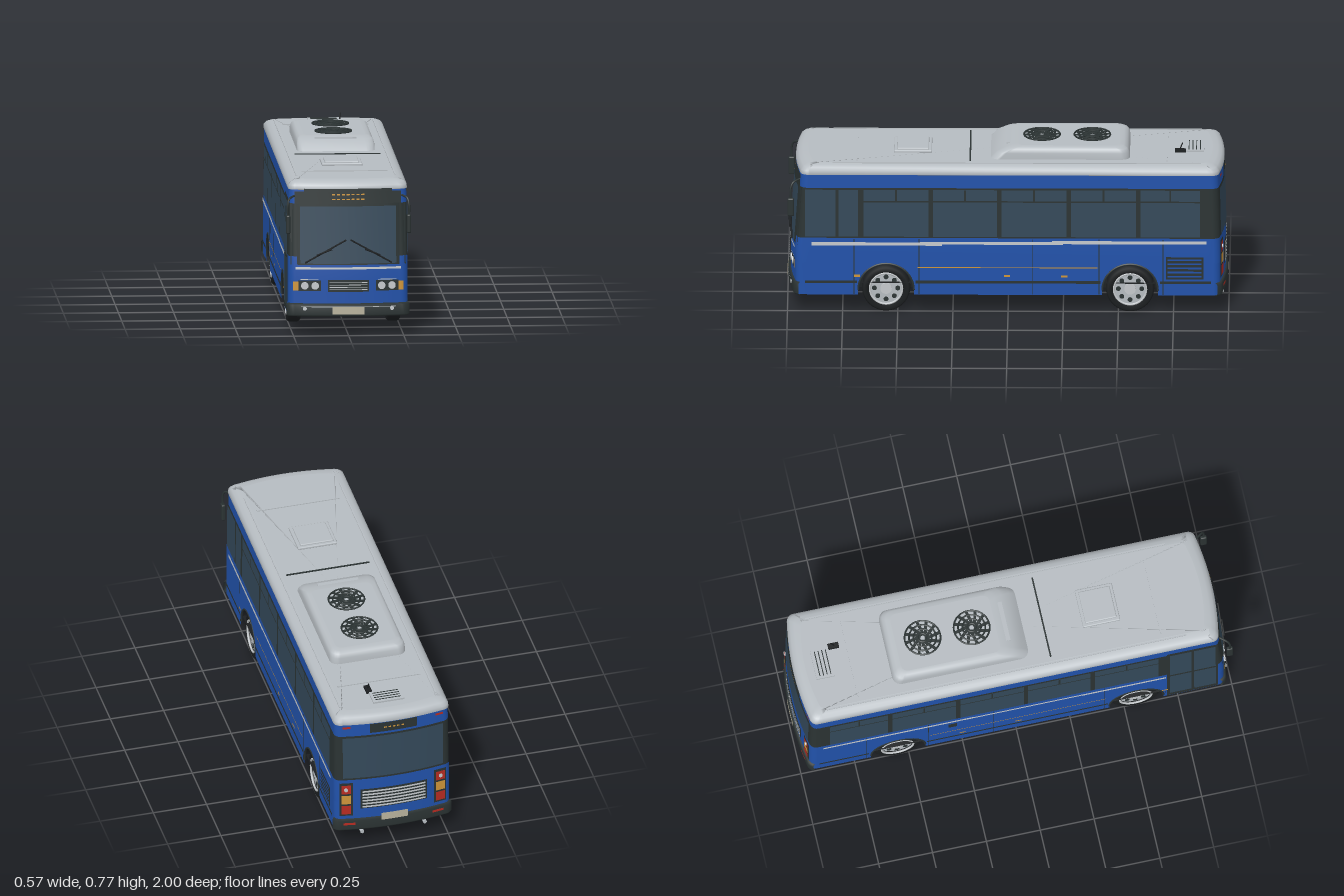
import * as THREE from 'three';
import { RoundedBoxGeometry } from 'three/addons/geometries/RoundedBoxGeometry.js';

const paint = (name, color) => {
  const m = new THREE.MeshStandardMaterial({ color, side: THREE.DoubleSide });
  m.name = name;
  return m;
};

export function createModel() {
  const bus = new THREE.Group();
  bus.name = 'cityBus';
  const blue = paint('bodyBlue', 0x2152ab), grey = paint('roofGrey', 0xb6bcc1), dark = paint('darkTrim', 0x2b3333);
  const glass = paint('tintedGlass', 0x34495a), black = paint('tyreBlack', 0x1c1f21), amber = paint('amber', 0xd0963a);
  const red = paint('lampRed', 0xb82c22), cream = paint('plateCream', 0xbab49e), silver = paint('silver', 0xc6cacd);

  const add = (name, geo, mat, x = 0, y = 0, z = 0, parent = bus) => {
    const m = new THREE.Mesh(geo, mat);
    m.name = name;
    m.position.set(x, y, z);
    parent.add(m);
    return m;
  };
  const box = (name, mat, w, h, d, x, y, z) => add(name, new THREE.BoxGeometry(w, h, d), mat, x, y, z);

  // Body surface: slight lean of the front and sides, bowed ends with rounded corners
  const lean = y => Math.max(0, (y - 0.3) / 0.36);
  const halfW = y => 0.271 - 0.004 * lean(y);
  const endDrop = x => {
    const a = Math.abs(x);
    if (a <= 0.235) return 0.022 * (a / 0.235) ** 2;
    const t = Math.min(1, (a - 0.235) / 0.036);
    return 0.022 + 0.033 * (1 - Math.sqrt(1 - t * t));
  };
  const endZ = (s, x, y, off = 0) => s * ((s > 0 ? 0.987 - 0.026 * lean(y) : 0.985 - 0.008 * lean(y)) - endDrop(x) + off);
  const xs = [];
  for (let i = 0; i <= 8; i++) xs.push(0.235 * i / 8);
  for (let i = 1; i <= 6; i++) xs.push(0.235 + 0.036 * Math.sin(i * Math.PI / 12));
  const allX = [...xs.slice(1).reverse().map(x => -x), ...xs];
  const outline = (y, off = 0) => {
    const k = (halfW(y) + off) / 0.271;
    const end = s => allX.map(x => new THREE.Vector3(s * x * k, y, endZ(s, x, y, off)));
    const w = halfW(y) + off, V = (x, z) => new THREE.Vector3(x, y, z);
    return [...end(1), V(w, 0.9), V(w, -0.9), ...end(-1), V(-w, -0.9), V(-w, 0.9)];
  };

  // Skin between equal rings of points, with an optional flat cap on the last ring
  const loft = (rings, closed = true, cap = false) => {
    const n = rings[0].length, pos = [], idx = [];
    rings.forEach(r => r.forEach(p => pos.push(p.x, p.y, p.z)));
    for (let j = 0; j < rings.length - 1; j++) for (let i = 0; i < (closed ? n : n - 1); i++) {
      const a = j * n + i, b = j * n + (i + 1) % n;
      idx.push(a, b, a + n, b, b + n, a + n);
    }
    if (cap) {
      const c = pos.length / 3, last = rings[rings.length - 1];
      const mid = last.reduce((s, p) => s.add(p), new THREE.Vector3()).divideScalar(n);
      [mid, ...last].forEach(p => pos.push(p.x, p.y, p.z));
      for (let i = 0; i < n; i++) idx.push(c, c + 1 + i, c + 1 + (i + 1) % n);
    }
    const g = new THREE.BufferGeometry();
    g.setAttribute('position', new THREE.Float32BufferAttribute(pos, 3));
    g.setIndex(idx);
    g.computeVertexNormals();
    return g;
  };
  // Thin panels that follow the ends and the sides
  const endPatch = (name, mat, s, x0, x1, y0, y1, off = 0.003) => {
    const row = y => Array.from({ length: 13 }, (_, i) => {
      const x = x0 + (x1 - x0) * i / 12;
      return new THREE.Vector3(x, y, endZ(s, x, y, off));
    });
    add(name, loft([row(y0), row(y1)], false), mat);
  };
  const sidePatch = (name, mat, s, z0, z1, y0, y1, off = 0.003) => {
    const row = y => [z0, z1].map(z => new THREE.Vector3(s * (halfW(y) + off), y, z));
    add(name, loft([row(y0), row(y1)], false), mat);
  };
  const endDisc = (name, mat, s, r, x, y, off = 0.005) => {
    const g = new THREE.CylinderGeometry(r, r, 0.008, 20).rotateX(Math.PI / 2);
    add(name, g, mat, x, y, endZ(s, x, y, off));
  };

  // Body bands and roof
  add('bodyWaist', loft([outline(0.24), outline(0.3), outline(0.36)]), blue);
  add('windowBand', loft([outline(0.36), outline(0.6)]), dark);
  add('bodyCornice', loft([outline(0.6), outline(0.67)]), blue);
  add('roof', loft([outline(0.662), outline(0.664, 0.003), outline(0.682, 0.002), outline(0.695, -0.009),
    outline(0.703, -0.026), outline(0.706, -0.05)], true, true), grey);

  // Lower skirt ends, bumpers
  for (const s of [1, -1]) {
    const half = (y, off) => {
      const o = outline(y, off).filter(p => p.z * s >= 0.899);
      return s > 0 ? [o[o.length - 1], ...o.slice(0, -1)] : o;
    };
    add('skirtEnd', loft([half(0.087), half(0.24)], false), blue);
    const rim = (y, off) => half(y, off).slice(2, -2);
    add(s > 0 ? 'frontBumper' : 'rearBumper',
      loft([rim(0.087, -0.02), rim(0.087, 0.006), rim(0.095, 0.01), rim(0.138, 0.01), rim(0.146, 0.004), rim(0.146, -0.02)], false), dark);
  }

  // Sides
  for (const s of [1, -1]) {
    const skirt = new THREE.Shape();
    skirt.moveTo(-0.9, 0.087);
    for (const c of [-0.553, 0.553]) {
      skirt.lineTo(c - 0.126, 0.087);
      skirt.absarc(c, 0.11, 0.126, Math.PI, 0, true);
      skirt.lineTo(c + 0.126, 0.087);
    }
    skirt.lineTo(0.9, 0.087).lineTo(0.9, 0.24).lineTo(-0.9, 0.24);
    add('sideSkirt', new THREE.ShapeGeometry(skirt, 24).rotateY(-Math.PI / 2), blue, s * 0.271);

    for (const c of [-0.553, 0.553]) {
      const well = new THREE.CylinderGeometry(0.126, 0.126, 0.1, 24, 1, true, 0, Math.PI).rotateX(-Math.PI / 2).rotateY(Math.PI / 2);
      well.rotateX(0);
      const arch = new THREE.TorusGeometry(0.126, 0.005, 6, 28, Math.PI).rotateY(Math.PI / 2);
      add('wheelArchLip', arch, dark, s * 0.27, 0.11, c);
      // Wheel well follows the arch inward
      const ring = x => Array.from({ length: 17 }, (_, i) => new THREE.Vector3(x, 0.11 + 0.126 * Math.sin(i * Math.PI / 16), c + 0.126 * Math.cos(i * Math.PI / 16)));
      add('wheelWell', loft([ring(s * 0.27), ring(s * 0.17)], false), black);
    }

    // Windows with sliding upper vents
    const panes = [[0.655, 0.36], [0.34, 0.05], [0.03, -0.265], [-0.285, -0.58], [-0.6, -0.87]];
    for (const [a, b] of panes) {
      sidePatch('sideWindow', glass, s, a, b, 0.367, 0.592);
      sidePatch('ventRail', dark, s, a, b, 0.533, 0.54, 0.005);
      sidePatch('ventPost', dark, s, (a + b) / 2 + 0.004, (a + b) / 2 - 0.004, 0.54, 0.592, 0.005);
    }
    if (s > 0) {
      sidePatch('driverWindow', glass, s, 0.92, 0.782, 0.367, 0.592);
      sidePatch('driverWindow', glass, s, 0.768, 0.68, 0.367, 0.592);
      // Engine grille
      sidePatch('engineGrille', dark, s, -0.715, -0.885, 0.165, 0.272);
      for (let i = 0; i < 5; i++) sidePatch('grilleSlat', blue, s, -0.722, -0.878, 0.175 + i * 0.02, 0.183 + i * 0.02, 0.005);
    } else {
      // Folding entrance door
      sidePatch('doorFrame', dark, s, 0.93, 0.695, 0.1, 0.625, 0.004);
      for (const z of [0.92, 0.807]) {
        sidePatch('doorGlass', glass, s, z, z - 0.1, 0.36, 0.605, 0.006);
        sidePatch('doorGlass', glass, s, z, z - 0.1, 0.13, 0.345, 0.006);
      }
      sidePatch('fuelCap', dark, s, -0.28, -0.32, 0.27, 0.31);
    }
    // Stripes, mouldings, seams and markers
    const zf = s > 0 ? 0.89 : 0.69;
    sidePatch('silverStripe', silver, s, zf, 0.3, 0.324, 0.34);
    sidePatch('silverStripe', silver, s, 0.4, -0.25, 0.33, 0.343, 0.004);
    sidePatch('silverStripe', silver, s, -0.2, -0.9, 0.334, 0.349, 0.005);
    sidePatch('thinGoldLine', amber, s, 0.41, -0.405, 0.217, 0.221);
    for (const [a, b] of [[s > 0 ? 0.92 : 0.69, 0.685], [0.42, -0.42], [-0.69, -0.92]]) sidePatch('moulding', dark, s, a, b, 0.143, 0.156, 0.004);
    for (const z of [0.7, 0.405, -0.11, -0.41, -0.7]) sidePatch('panelSeam', dark, s, z, z - 0.004, 0.09, 0.355, 0.002);
    for (const z of [0.685, 0.005, -0.255]) sidePatch('sideMarker', amber, s, z + 0.014, z - 0.014, 0.174, 0.184, 0.005);

    // Mirror on a bent arm
    const arm = new THREE.CatmullRomCurve3([[0.245, 0.635, 0.945], [0.268, 0.625, 0.975], [0.275, 0.6, 0.985], [0.275, 0.54, 0.985]]
      .map(([x, y, z]) => new THREE.Vector3(s * x, y, z)));
    add('mirrorArm', new THREE.TubeGeometry(arm, 16, 0.005, 8), dark);
    add('mirror', new RoundedBoxGeometry(0.019, 0.086, 0.03, 3, 0.007), dark, s * 0.274, 0.51, 0.985);
  }

  // Front: windscreen, sign, wipers
  endPatch('windscreenFrame', dark, 1, -0.262, 0.262, 0.322, 0.6, 0.002);
  endPatch('signPanel', dark, 1, -0.242, 0.242, 0.6, 0.655, 0.002);
  endPatch('signPanelTop', dark, 1, -0.2, 0.2, 0.655, 0.668, 0.006);
  endPatch('windscreen', glass, 1, -0.218, 0.218, 0.328, 0.588, 0.004);
  for (const y of [0.62, 0.642]) for (let i = -3; i <= 3; i++)
    endPatch('signLamp', amber, 1, i * 0.022 - 0.007, i * 0.022 + 0.007, y - 0.003, y + 0.003, 0.006);
  const rod = (name, mat, a, b, r) => add(name, new THREE.TubeGeometry(new THREE.LineCurve3(a, b), 1, r, 6), mat);
  const onFront = (x, y, off) => new THREE.Vector3(x, y, endZ(1, x, y, off));
  for (const s of [1, -1]) {
    rod('wiperBlade', black, onFront(s * 0.01, 0.437, 0.012), onFront(s * 0.197, 0.332, 0.012), 0.004);
    rod('wiperArm', black, onFront(s * 0.075, 0.395, 0.015), onFront(s * 0.145, 0.367, 0.015), 0.004);
    // Headlamp clusters
    endPatch('headlampHousing', dark, 1, s * 0.125, s * 0.228, 0.203, 0.251);
    endPatch('turnSignal', amber, 1, s * 0.227, s * 0.25, 0.205, 0.246, 0.005);
    endPatch('lampBrow', silver, 1, s * 0.135, s * 0.218, 0.253, 0.257, 0.004);
    for (const x of [0.151, 0.198]) endDisc('headlamp', silver, 1, 0.017, s * x, 0.227);
    endDisc('fogLamp', silver, 1, 0.009, s * 0.198, 0.123, 0.011);
  }
  endPatch('frontStripe', silver, 1, -0.24, 0.24, 0.302, 0.312, 0.004);
  endPatch('frontGrille', dark, 1, -0.093, 0.093, 0.199, 0.253);
  for (let i = 0; i < 4; i++) endPatch('grilleBar', silver, 1, -0.086, 0.086, 0.208 + i * 0.0107, 0.211 + i * 0.0107, 0.006);
  endPatch('bumperLine', grey, 1, -0.215, 0.215, 0.13, 0.133, 0.012);
  endPatch('frontPlate', cream, 1, -0.073, 0.073, 0.097, 0.131, 0.014);

  // Rear: window, sign, grille and lamps
  endPatch('rearWindow', glass, -1, -0.235, 0.235, 0.372, 0.592, 0.004);
  endPatch('rearSign', dark, -1, -0.11, 0.11, 0.613, 0.662);
  for (let i = -2; i <= 2; i++) endPatch('rearSignLamp', amber, -1, i * 0.02 - 0.006, i * 0.02 + 0.006, 0.634, 0.641, 0.006);
  endPatch('rearGrille', dark, -1, -0.155, 0.155, 0.2, 0.306);
  for (let i = 0; i < 6; i++) endPatch('rearGrilleBar', silver, -1, -0.148, 0.148, 0.206 + i * 0.0165, 0.215 + i * 0.0165, 0.006);
  endPatch('rearPlate', cream, -1, -0.062, 0.062, 0.132, 0.17, 0.0125);
  for (const s of [1, -1]) {
    endPatch('tailLampHousing', dark, -1, s * 0.19, s * 0.25, 0.165, 0.345);
    [red, amber, red].forEach((m, i) => endPatch('tailLamp', m, -1, s * 0.2, s * 0.243, 0.175 + i * 0.056, 0.222 + i * 0.056, 0.006));
    endDisc('reverseLamp', silver, -1, 0.009, s * 0.222, 0.31, 0.006);
    endPatch('rearReflector', red, -1, s * 0.18, s * 0.235, 0.118, 0.13, 0.0125);
    endPatch('topMarker', red, -1, s * 0.2, s * 0.235, 0.645, 0.656, 0.005);
    const hook = new THREE.CylinderGeometry(0.009, 0.009, 0.035, 12).rotateX(Math.PI / 2);
    add('towPipe', hook, grey, s * 0.147, 0.068, -0.96);
    add('towPipeEnd', new THREE.CylinderGeometry(0.0095, 0.0095, 0.004, 12).rotateX(Math.PI / 2), dark, s * 0.147, 0.068, -0.941);
  }

  // Underside: raised floor with a deeper centre section
  add('floor', loft([outline(0.141, -0.006), outline(0.14, -0.006)], true, true), black);
  box('chassis', black, 0.34, 0.055, 1.9, 0, 0.114, 0);
  for (const z of [0.86, -0.86]) box('chassisEnd', black, 0.48, 0.05, 0.16, 0, 0.114, z);
  box('towBeam', black, 0.23, 0.006, 1.8, 0, 0.085, 0);

  // Wheels: the rear axle has doubled tyres
  const tyre = [[0.074, -0.031], [0.1, -0.031], [0.108, -0.024], [0.11, -0.01], [0.11, 0.01], [0.108, 0.024], [0.1, 0.031], [0.074, 0.031], [0.074, -0.031]];
  const tyreGeo = new THREE.LatheGeometry(tyre.map(([r, h]) => new THREE.Vector2(r, h)), 40).rotateZ(-Math.PI / 2);
  const disc = (r, d) => new THREE.CylinderGeometry(r, r, d, 28).rotateZ(Math.PI / 2);
  for (const s of [1, -1]) for (const z of [0.553, -0.553]) {
    const wheel = new THREE.Group();
    wheel.name = z > 0 ? 'frontWheel' : 'rearWheel';
    wheel.position.set(s * 0.226, 0.11, z);
    bus.add(wheel);
    add('tyre', tyreGeo, black, 0, 0, 0, wheel);
    if (z < 0) add('innerTyre', tyreGeo, black, -s * 0.05, 0, 0, wheel);
    add('rimDisc', disc(0.075, 0.04), grey, 0, 0, 0, wheel);
    add('rimEdge', new THREE.TorusGeometry(0.074, 0.005, 8, 32).rotateY(Math.PI / 2), silver, s * 0.029, 0, 0, wheel);
    add('hub', disc(0.026, 0.058), silver, 0, 0, 0, wheel);
    for (let i = 0; i < 8; i++) {
      const a = i * Math.PI / 4;
      add('rimHole', disc(0.011, 0.003), dark, s * 0.021, 0.053 * Math.sin(a), 0.053 * Math.cos(a), wheel);
    }
  }
  for (const z of [0.553, -0.553]) add('axle', disc(0.02, 0.4), black, 0, 0.11, z);

  // Roof air conditioner with two fans
  const rounded = (y, w, z0, z1, r) => {
    const pts = [];
    [[1, 1], [1, -1], [-1, -1], [-1, 1]].forEach(([sx, sz], q) => {
      for (let i = 0; i <= 5; i++) {
        const a = Math.PI / 2 - q * Math.PI / 2 - i * Math.PI / 10;
        pts.push(new THREE.Vector3(sx * (w - r) + r * Math.cos(a), y, (sz > 0 ? z1 - r : z0 + r) + r * Math.sin(a)));
      }
    });
    return pts;
  };
  add('airConditioner', loft([rounded(0.7, 0.177, -0.552, 0.085, 0.04), rounded(0.735, 0.176, -0.55, 0.05, 0.04),
    rounded(0.752, 0.17, -0.54, 0.012, 0.04), rounded(0.76, 0.158, -0.525, -0.02, 0.04), rounded(0.762, 0.14, -0.505, -0.045, 0.03)], true, true), grey);
  box('unitHandle', grey, 0.19, 0.006, 0.025, 0, 0.755, -0.005);
  for (const z of [-0.38, -0.152]) {
    for (const r of [0.082, 0.062, 0.042, 0.02]) add('fanGuard', new THREE.TorusGeometry(r, 0.004, 6, 32).rotateX(Math.PI / 2), dark, 0, 0.765, z);
    for (let i = 0; i < 12; i++) {
      const a = i * Math.PI / 6;
      box('fanBlade', dark, 0.07, 0.004, 0.013, 0.045 * Math.cos(a), 0.764, z - 0.045 * Math.sin(a)).rotation.y = a + 0.25;
    }
  }

  // Roof hatch, vent, ribs and aerial
  add('hatchBase', new RoundedBoxGeometry(0.184, 0.014, 0.172, 2, 0.005), grey, 0, 0.71, 0.432);
  add('hatchLid', new RoundedBoxGeometry(0.155, 0.012, 0.145, 2, 0.005), grey, 0, 0.718, 0.432);
  box('roofVent', grey, 0.145, 0.012, 0.085, -0.002, 0.708, -0.845);
  for (let i = 0; i < 4; i++) box('ventSlot', dark, 0.12, 0.002, 0.004, -0.002, 0.7145, -0.87 + i * 0.017);
  box('roofRib', dark, 0.39, 0.006, 0.007, 0, 0.707, 0.172);
  for (const z of [0.685, -0.72]) box('roofRib', grey, 0.39, 0.006, 0.006, 0, 0.707, z);
  for (const s of [1, -1]) box('roofRail', grey, 0.007, 0.009, 1.67, s * 0.224, 0.704, -0.04);
  box('aerialBase', black, 0.026, 0.012, 0.05, 0.068, 0.712, -0.78);
  rod('aerial', black, new THREE.Vector3(0.068, 0.712, -0.775), new THREE.Vector3(0.068, 0.75, -0.79), 0.003);
  return bus;
}
